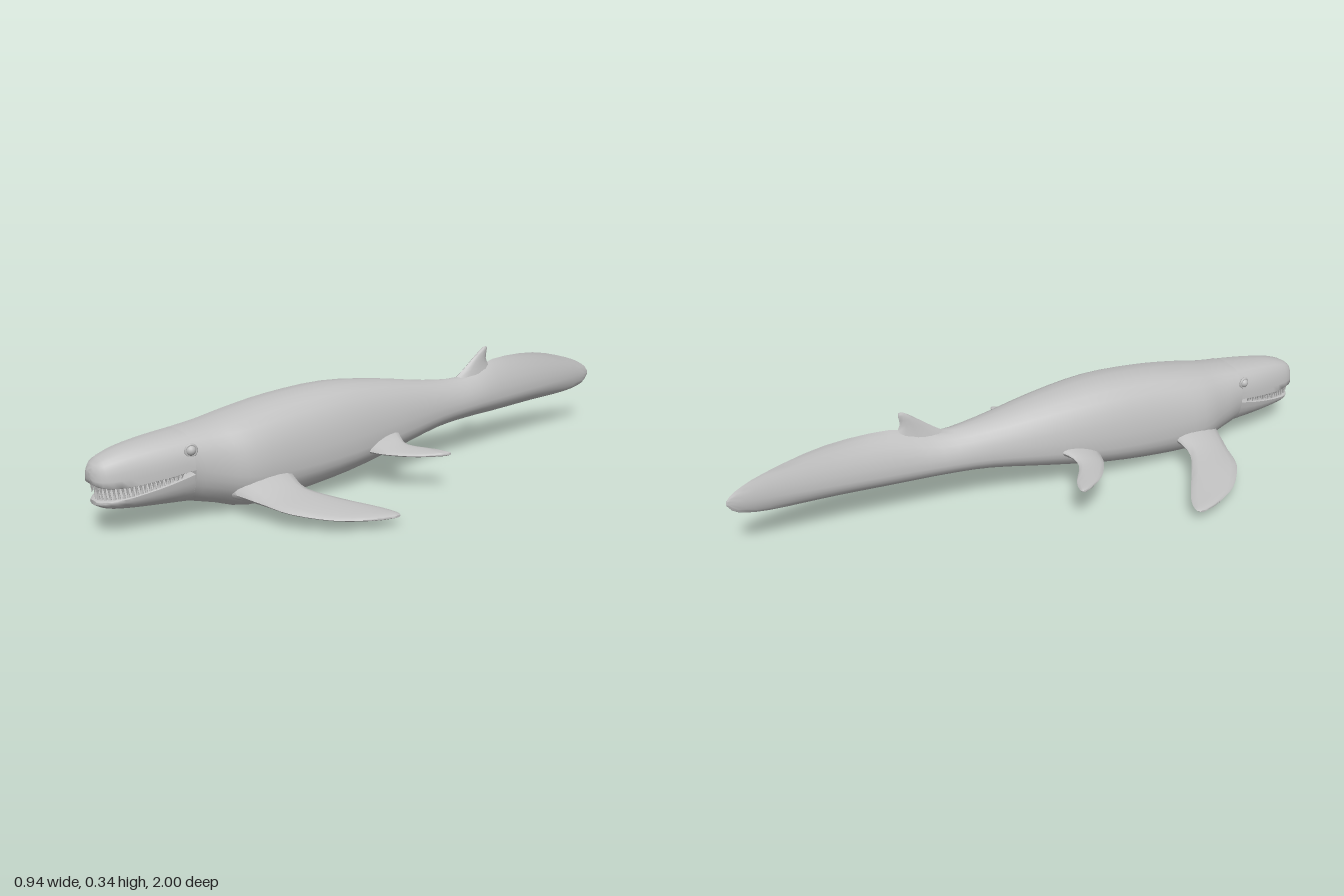
import * as THREE from 'three';
import { toCreasedNormals } from 'three/addons/utils/BufferGeometryUtils.js';

const V = (x, y, z) => new THREE.Vector3(x, y, z);

// Add smooth in-between rows to a short list of key rows
function smooth(rows, steps) {
  const out = [], last = rows.length - 1;
  for (let i = 0; i < last; i++) {
    const a = rows[Math.max(i - 1, 0)], b = rows[i], c = rows[i + 1], d = rows[Math.min(i + 2, last)];
    for (let s = 0; s < steps; s++) {
      const t = s / steps;
      out.push(b.map((q, k) => q + 0.5 * t * (c[k] - a[k]
        + t * (2 * a[k] - 5 * q + 4 * c[k] - d[k] + t * (3 * (q - c[k]) + d[k] - a[k])))));
    }
  }
  return [...out, rows[last]];
}

// Skin a list of closed rings and cap both ends
function loft(rings) {
  const n = rings[0].length, pos = [], idx = [];
  rings.forEach(r => r.forEach(p => pos.push(p.x, p.y, p.z)));
  for (let i = 0; i < rings.length - 1; i++)
    for (let j = 0; j < n; j++) {
      const k = (j + 1) % n, a = i * n + j, b = i * n + k, c = b + n, d = a + n;
      idx.push(a, b, c, a, c, d);
    }
  [0, rings.length - 1].forEach((row, end) => {
    const c = rings[row].reduce((s, p) => s.add(p), V(0, 0, 0)).divideScalar(n);
    const ci = pos.length / 3;
    pos.push(c.x, c.y, c.z);
    for (let j = 0; j < n; j++) {
      const a = row * n + j, b = row * n + (j + 1) % n;
      if (end) idx.push(ci, a, b); else idx.push(ci, b, a);
    }
  });
  const g = new THREE.BufferGeometry();
  g.setAttribute('position', new THREE.Float32BufferAttribute(pos, 3));
  g.setIndex(idx);
  return toCreasedNormals(g, 0.95);
}

function ring(n, f) {
  return Array.from({ length: n }, (_, j) => {
    const t = j / n * Math.PI * 2;
    return f(Math.cos(t), Math.sin(t));
  });
}

// Body slice: z, top, widest height, bottom, half width, upper and lower sharpness
const slice = ([z, top, mid, bot, w, pt, pb]) => ring(28, (c, s) =>
  V(w * Math.sign(c) * Math.pow(Math.abs(c), s > 0 ? pt : pb),
    mid + s * (s > 0 ? top - mid : mid - bot), z));

// Jaw slices: z, outer height, lip height, half width, with a flat mouth side
const upperSlice = ([z, top, lip, w]) => slice([z, top, lip, lip - 0.003, w, 0.6, 0.5]);
const lowerSlice = ([z, bot, lip, w]) => slice([z, lip, lip - 0.003, bot, w, 0.5, 0.7]);

// Flipper slice: span x, leading z, trailing z, leading y, trailing y, half thickness
const finSlice = ([x, zf, zb, yf, yb, h]) => ring(16, (c, s) =>
  V(x, (yf + yb) / 2 + s * (yf - yb) / 2 + c * h, (zf + zb) / 2 + s * (zf - zb) / 2));

// Dorsal spike slice: y, front z, back z, half width
const spikeSlice = ([y, zf, zb, w]) => ring(12, (c, s) =>
  V(s * w, y, (zf + zb) / 2 + c * (zf - zb) / 2));

// Tail tip to the corner of the mouth
const BODY = [
  [-1, 0.19, 0.184, 0.178, 0.001, 1, 1],
  [-0.97, 0.218, 0.182, 0.148, 0.008, 2, 1.6],
  [-0.88, 0.255, 0.18, 0.13, 0.017, 2.4, 1.7],
  [-0.7, 0.296, 0.175, 0.123, 0.033, 2.8, 1.6],
  [-0.5, 0.297, 0.17, 0.115, 0.051, 2.2, 1.3],
  [-0.35, 0.257, 0.166, 0.113, 0.067, 1.4, 1.1],
  [-0.2, 0.264, 0.16, 0.104, 0.086, 0.95, 0.95],
  [0, 0.296, 0.142, 0.07, 0.12, 0.8, 0.85],
  [0.2, 0.315, 0.122, 0.035, 0.142, 0.72, 0.8],
  [0.4, 0.305, 0.112, 0.01, 0.148, 0.72, 0.8],
  [0.55, 0.283, 0.115, 0.003, 0.147, 0.72, 0.8],
  [0.64, 0.267, 0.132, 0.028, 0.122, 0.67, 0.75],
  [0.73, 0.255, 0.158, 0.052, 0.102, 0.6, 0.7],
];
const UPPER = [
  [0.73, 0.255, 0.158, 0.102], [0.82, 0.247, 0.147, 0.091], [0.91, 0.234, 0.138, 0.073],
  [0.97, 0.215, 0.141, 0.054], [0.993, 0.196, 0.149, 0.032], [1, 0.181, 0.162, 0.012],
];
const LOWER = [
  [0.7, 0.047, 0.155, 0.1], [0.8, 0.057, 0.13, 0.09], [0.9, 0.066, 0.11, 0.07],
  [0.96, 0.075, 0.104, 0.052], [0.988, 0.087, 0.099, 0.02],
];
const FRONT_FLIPPER = [
  [0.09, 0.63, 0.42, 0.07, 0.1, 0.045],
  [0.15, 0.612, 0.438, 0.066, 0.093, 0.028],
  [0.22, 0.59, 0.441, 0.058, 0.073, 0.016],
  [0.31, 0.562, 0.383, 0.049, 0.055, 0.012],
  [0.4, 0.482, 0.32, 0.038, 0.041, 0.009],
  [0.45, 0.39, 0.301, 0.033, 0.035, 0.007],
  [0.468, 0.33, 0.308, 0.032, 0.033, 0.003],
];
const REAR_FLIPPER = [
  [0.08, 0.17, -0.01, 0.115, 0.145, 0.03],
  [0.14, 0.148, 0.03, 0.112, 0.14, 0.017],
  [0.19, 0.131, 0.04, 0.112, 0.126, 0.01],
  [0.26, 0.081, -0.008, 0.113, 0.119, 0.008],
  [0.305, 0.02, -0.022, 0.115, 0.117, 0.006],
  [0.318, -0.008, -0.018, 0.116, 0.117, 0.003],
];
const SPIKE = [
  [0.235, -0.3, -0.52, 0.024], [0.275, -0.36, -0.487, 0.015], [0.305, -0.4, -0.468, 0.01],
  [0.335, -0.44, -0.472, 0.006], [0.345, -0.458, -0.471, 0.002],
];

export function createModel() {
  const model = new THREE.Group();
  model.name = 'marineReptile';
  const grey = new THREE.MeshStandardMaterial({ color: 0xc0c0c0 });
  grey.name = 'skin grey';
  const add = (name, geo, parent = model) => {
    const m = new THREE.Mesh(geo, grey);
    m.name = name;
    parent.add(m);
    return m;
  };

  add('body', loft(smooth(BODY, 3).map(slice)));
  add('upperJaw', loft(smooth(UPPER, 3).map(upperSlice)));
  add('lowerJaw', loft(smooth(LOWER, 3).map(lowerSlice)));
  add('dorsalSpike', loft(smooth(SPIKE, 2).map(spikeSlice)));

  // Paired flippers and eyes
  for (const side of [1, -1]) {
    const label = side > 0 ? 'left' : 'right';
    const flipper = rows => {
      const r = smooth(rows, 3).map(([x, ...rest]) => finSlice([x * side, ...rest]));
      return loft(side > 0 ? r : r.reverse());
    };
    add(label + 'FrontFlipper', flipper(FRONT_FLIPPER));
    add(label + 'RearFlipper', flipper(REAR_FLIPPER));
    add(label + 'Eye', new THREE.SphereGeometry(0.015, 16, 12)).position.set(side * 0.09, 0.213, 0.738);
    const lid = add(label + 'Eyelid', new THREE.TorusGeometry(0.016, 0.004, 8, 20));
    lid.position.set(side * 0.092, 0.213, 0.738);
    lid.rotation.y = side * 1.4;
  }

  // Teeth follow the rim of each jaw
  function teeth(name, rim, count, dir) {
    const group = new THREE.Group();
    group.name = name;
    model.add(group);
    const pts = rim.map(p => V(...p));
    const mirrored = pts.slice(0, -1).reverse().map(p => V(-p.x, p.y, p.z));
    const curve = new THREE.CatmullRomCurve3([...pts, ...mirrored]);
    for (let i = 0; i < count; i++) {
      const p = curve.getPointAt((i + 0.5) / count);
      const len = (0.018 + 0.02 * (p.z - 0.75) / 0.23) * (i % 2 ? 1 : 0.82);
      const tooth = add('tooth', new THREE.ConeGeometry(0.0055, len, 6), group);
      tooth.position.set(p.x, p.y + dir * len * 0.4, p.z);
      if (dir < 0) tooth.rotation.x = Math.PI;
    }
  }
  teeth('upperTeeth', [[0.09, 0.153, 0.76], [0.067, 0.139, 0.91],
    [0.045, 0.142, 0.965], [0, 0.15, 0.986]], 44, -1);
  teeth('lowerTeeth', [[0.086, 0.14, 0.765], [0.058, 0.107, 0.91],
    [0.038, 0.103, 0.957], [0, 0.1, 0.976]], 40, 1);

  return model;
}
